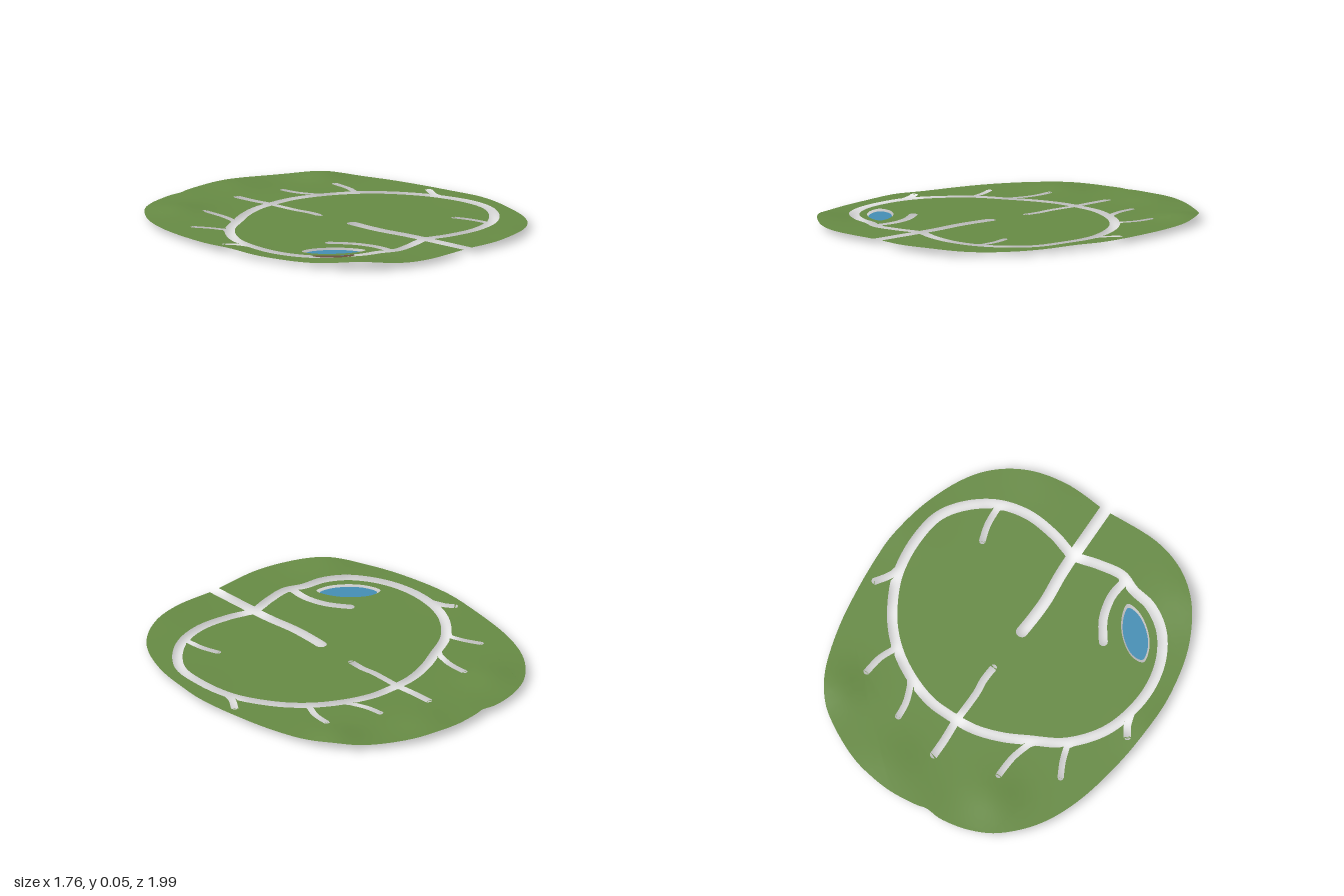
import * as THREE from 'three';
import { mergeVertices } from 'three/addons/utils/BufferGeometryUtils.js';

const v = (x, z) => new THREE.Vector2(x, z);
const smooth = (pts, n) => new THREE.SplineCurve(pts.map(p => v(...p))).getPoints(n);

// Closed smooth loop in plan (x, z)
function loop(pts, n) {
  const c = new THREE.CatmullRomCurve3(pts.map(([x, z]) => new THREE.Vector3(x, 0, z)), true);
  return c.getPoints(n).slice(0, n).map(p => v(p.x, p.z));
}

// Gentle hills: x, z, height, radius
const HILLS = [
  [-0.68, 0.82, 0.021, 0.13], [-0.42, -0.74, 0.016, 0.1], [0.17, -0.87, 0.013, 0.11],
  [0.64, -0.66, 0.018, 0.09], [0.88, 0.33, 0.007, 0.12], [-0.9, 0.05, 0.008, 0.1],
  [0.4, 0.98, 0.006, 0.12], [-0.1, -0.98, 0.006, 0.1],
];
const height = (x, z) => HILLS.reduce(
  (y, [hx, hz, h, r]) => y + h * Math.exp(-((x - hx) ** 2 + (z - hz) ** 2) / (2 * r * r)), 0.026);

// Road ring centreline, starting at the front and running towards +x
const RING = loop([
  [0, 0.67], [0.15, 0.71], [0.33, 0.73], [0.5, 0.69], [0.64, 0.59], [0.73, 0.46], [0.757, 0.28],
  [0.74, 0.1], [0.7, -0.02], [0.6, -0.19], [0.48, -0.31], [0.33, -0.4], [0.18, -0.452], [0.05, -0.462],
  [-0.1, -0.455], [-0.25, -0.41], [-0.38, -0.345], [-0.55, -0.25], [-0.68, -0.1], [-0.74, 0.05],
  [-0.76, 0.25], [-0.72, 0.43], [-0.63, 0.57], [-0.5, 0.655], [-0.38, 0.68], [-0.28, 0.718], [-0.14, 0.7],
], 260);

// Sideways offset of a path; positive is to the right of travel in plan
function offset(path, d, closed) {
  const n = path.length;
  return path.map((p, i) => {
    const a = path[closed ? (i + n - 1) % n : Math.max(i - 1, 0)];
    const b = path[closed ? (i + 1) % n : Math.min(i + 1, n - 1)];
    const t = b.clone().sub(a).normalize();
    return v(p.x - t.y * d, p.y + t.x * d);
  });
}

// Cut round-ended side roads into one edge of the ring
function edgeWithSpurs(edge, spurs) {
  let out = edge.map(p => [p]);
  for (const { pts, w } of spurs) {
    const start = v(...pts[0]);
    let k = 0;
    edge.forEach((p, i) => { if (p.distanceTo(start) < edge[k].distanceTo(start)) k = i; });
    const base = edge[k];
    const path = smooth([[base.x, base.y], ...pts.slice(1)], 12);
    const tip = path.at(-1), dir = tip.clone().sub(path.at(-2)).normalize();
    tip.addScaledVector(dir, -w);
    const cap = [];
    for (let i = 1; i < 8; i++) {
      const a = Math.PI * i / 8, c = Math.cos(a) * w, s = Math.sin(a) * w;
      cap.push(v(tip.x - dir.y * c + dir.x * s, tip.y + dir.x * c + dir.y * s));
    }
    let cut = [...offset(path, w), ...cap, ...offset(path, -w).reverse()];
    const n = edge.length, prev = edge[(k + n - 4) % n];
    if (prev.distanceTo(cut[0]) > prev.distanceTo(cut.at(-1))) cut.reverse();
    edge.forEach((p, i) => { if (p.distanceTo(base) < w + 0.008) out[i] = []; });
    out[k] = cut;
  }
  return out.flat();
}

// Flat shape to ground sheet: split long edges evenly, then lift onto the hills
function landGeometry(outline, holes = []) {
  const flip = pts => pts.map(p => v(p.x, -p.y));
  const shape = new THREE.Shape(flip(outline));
  holes.forEach(h => shape.holes.push(new THREE.Path(flip(h))));
  const g = new THREE.ShapeGeometry(shape).rotateX(-Math.PI / 2).toNonIndexed();
  const P = g.attributes.position, stack = [], xyz = [];
  for (let i = 0; i < P.count; i += 3) {
    stack.push([0, 1, 2].map(j => v(P.getX(i + j), P.getZ(i + j))));
  }
  while (stack.length) {
    const t = stack.pop();
    const len = t.map((p, i) => p.distanceTo(t[(i + 1) % 3]));
    const i = len.indexOf(Math.max(...len));
    if (len[i] > 0.06) {
      const a = t[i], b = t[(i + 1) % 3], c = t[(i + 2) % 3];
      const m = a.clone().add(b).multiplyScalar(0.5);
      stack.push([a, m, c], [m, b, c]);
    } else t.forEach(p => xyz.push(p.x, height(p.x, p.y), p.y));
  }
  const out = new THREE.BufferGeometry();
  out.setAttribute('position', new THREE.Float32BufferAttribute(xyz, 3));
  const merged = mergeVertices(out, 1e-5);
  merged.computeVertexNormals();
  return merged;
}

export function createModel() {
  const group = new THREE.Group();
  const material = (name, color) => {
    const m = new THREE.MeshStandardMaterial({ color, side: THREE.DoubleSide });
    m.name = name;
    return m;
  };
  const grass = material('grass green', 0x688c45);
  const water = material('water blue', 0x4590b6);
  const earth = material('earth brown', 0x6b5040);
  const add = (name, geometry, mat) => {
    const mesh = new THREE.Mesh(geometry, mat);
    mesh.name = name;
    group.add(mesh);
    return mesh;
  };

  // Work out which offset lies outside the ring
  const half = 0.028;
  const sides = [offset(RING, half, true), offset(RING, -half, true)]
    .sort((a, b) => Math.abs(THREE.ShapeUtils.area(b)) - Math.abs(THREE.ShapeUtils.area(a)));

  // Outer land, open at the front where the entrance road leaves
  const ringOuter = edgeWithSpurs(sides[0], [
    { pts: [[0.752, 0.04], [0.775, 0.01], [0.822, -0.055]], w: 0.02 },
    { pts: [[0.52, -0.31], [0.55, -0.4], [0.565, -0.515]], w: 0.018 },
    { pts: [[0.325, -0.43], [0.29, -0.53], [0.28, -0.635]], w: 0.018 },
    { pts: [[0, -0.49], [0, -0.6], [0, -0.718]], w: 0.022 },
    { pts: [[-0.39, -0.37], [-0.362, -0.48], [-0.355, -0.62]], w: 0.018 },
    { pts: [[-0.575, -0.27], [-0.6, -0.35], [-0.648, -0.445]], w: 0.017 },
    { pts: [[-0.765, 0.04], [-0.785, 0], [-0.825, -0.055]], w: 0.02 },
  ]).filter(p => !(p.y > 0.5 && Math.abs(p.x) < 0.034));
  const border = smooth([
    [0.033, 0.98], [0.24, 0.992], [0.45, 0.95], [0.62, 0.85], [0.74, 0.7], [0.83, 0.48], [0.875, 0.25],
    [0.88, 0.1], [0.865, -0.12], [0.83, -0.36], [0.76, -0.6], [0.66, -0.76], [0.53, -0.86], [0.35, -0.95],
    [0.2, -0.988], [0.07, -1], [-0.07, -0.99], [-0.14, -0.976], [-0.24, -0.983], [-0.4, -0.95],
    [-0.55, -0.87], [-0.7, -0.7], [-0.8, -0.47], [-0.86, -0.17], [-0.88, 0.1], [-0.87, 0.3],
    [-0.82, 0.53], [-0.73, 0.72], [-0.62, 0.85], [-0.48, 0.94], [-0.3, 0.985], [-0.033, 0.98],
  ], 160);
  add('outerLand', landGeometry([...border, v(-0.033, 0.7), ...ringOuter.reverse(), v(0.033, 0.7)]), grass);

  // Inner land with short dead-end roads and the pond opening
  const ringInner = edgeWithSpurs(sides[1], [
    { pts: [[0, -0.43], [0.003, -0.28], [0.012, -0.19], [0.005, -0.085]], w: 0.02 },
    { pts: [[0, 0.65], [-0.003, 0.53], [-0.017, 0.38], [-0.015, 0.25], [-0.005, 0.12]], w: 0.032 },
    { pts: [[-0.31, 0.69], [-0.3, 0.58], [-0.335, 0.45], [-0.42, 0.325]], w: 0.024 },
    { pts: [[0.5, 0.67], [0.482, 0.56], [0.45, 0.452]], w: 0.018 },
  ]);
  const pond = loop([
    [-0.65, 0.365], [-0.58, 0.358], [-0.47, 0.43], [-0.405, 0.53],
    [-0.395, 0.598], [-0.47, 0.593], [-0.57, 0.53], [-0.635, 0.445],
  ], 48);
  add('innerLand', landGeometry(ringInner, [pond]), grass);

  // Pond surface and the smaller bed beneath it
  const pondDisc = (name, scale, y, mat) => {
    const shape = new THREE.Shape(pond.map(p => v(-0.522 + (p.x + 0.522) * scale, -0.48 - (p.y - 0.48) * scale)));
    add(name, new THREE.ShapeGeometry(shape).rotateX(-Math.PI / 2), mat).position.y = y;
  };
  pondDisc('pondWater', 0.89, 0.015, water);
  pondDisc('pondBed', 0.66, 0, earth);
  return group;
}
